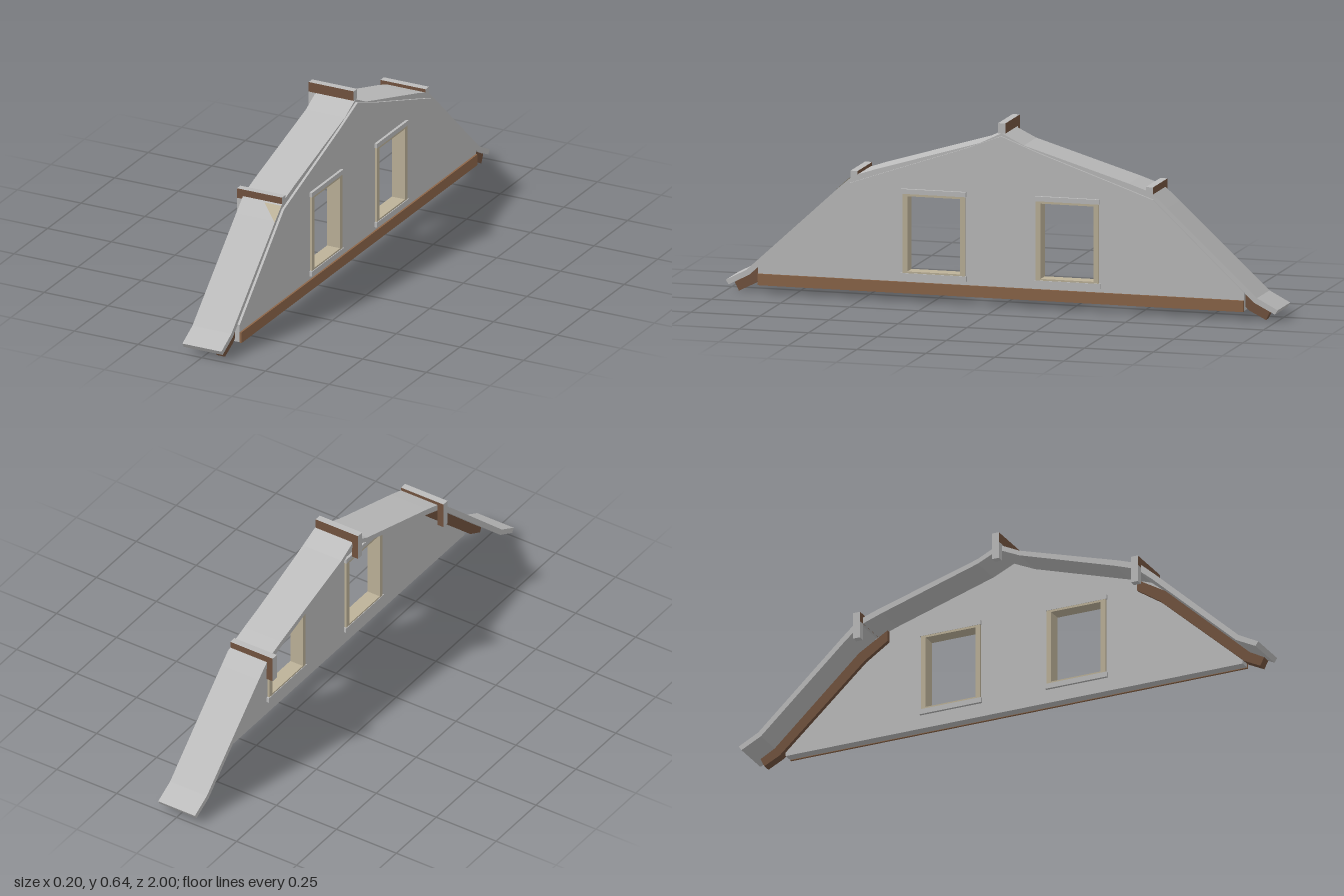
import * as THREE from 'three';

const mat = (name, color, side = THREE.FrontSide) => {
  const m = new THREE.MeshStandardMaterial({ color, side });
  m.name = name;
  return m;
};

export function createModel() {
  const group = new THREE.Group();
  const grey = mat('grey plaster', 0xbcbcbc);
  const brown = mat('timber brown', 0x8c6649);
  const dark = mat('dark timber', 0x72533f);
  const beige = mat('beige trim', 0xbdb299, THREE.DoubleSide);

  const add = (name, geometry, material) => {
    const mesh = new THREE.Mesh(geometry, material);
    mesh.name = name;
    group.add(mesh);
    return mesh;
  };
  // Box given by its limits on each axis
  const box = (name, x0, x1, y0, y1, z0, z1, material) =>
    add(name, new THREE.BoxGeometry(x1 - x0, y1 - y0, z1 - z0), material)
      .position.set((x0 + x1) / 2, (y0 + y1) / 2, (z0 + z1) / 2);
  // Profile of [z, y] points pushed along x from x0 to x1
  const slab = (name, points, x0, x1, material, holes = []) => {
    const shape = new THREE.Shape(points.map(p => new THREE.Vector2(...p)));
    for (const h of holes) shape.holes.push(new THREE.Path(h.map(p => new THREE.Vector2(...p))));
    const g = new THREE.ExtrudeGeometry(shape, { depth: x1 - x0, bevelEnabled: false });
    g.rotateY(-Math.PI / 2).translate(x1, 0, 0);
    return add(name, g, material);
  };
  const mirror = pts => pts.map(([z, y]) => [-z, y]).reverse();

  // Gable wall with two window openings
  const half = [[0.88, 0.03], [0.88, 0.095], [0.55, 0.405], [0.45, 0.44], [0.13, 0.55], [0, 0.6]];
  const opening = s => [[s * 0.14, 0.1], [s * 0.14, 0.38], [s * 0.345, 0.38], [s * 0.345, 0.1]];
  slab('gableWall', [...half, ...mirror(half.slice(0, -1))], 0.05, 0.086, grey, [opening(1), opening(-1)]);

  // Thin curved roof strip, swept out at the eaves
  const top = [[1, 0.038], [0.925, 0.077], [0.6, 0.377], [0.54, 0.43], [0.46, 0.457], [0.08, 0.571], [0, 0.61]];
  const under = [[0.99, 0.022], [0.915, 0.06], [0.59, 0.36], [0.53, 0.41], [0.45, 0.438], [0.08, 0.553], [0, 0.59]];
  for (const s of [1, -1]) {
    const pts = [...top, ...under.slice().reverse()];
    slab('roofStrip', s > 0 ? pts : mirror(pts), -0.076, 0.077, grey);

    // Rafter below each lower slope
    const rafter = [[0.97, 0.03], [0.915, 0.06], [0.59, 0.36], [0.48, 0.425],
      [0.48, 0.385], [0.57, 0.325], [0.895, 0.03], [0.955, 0]];
    slab('rafter', s > 0 ? rafter : mirror(rafter), 0.035, 0.068, dark);

    // Sill beam on the outer face, in two lengths
    box('sillBeam', 0.085, 0.093, 0.028, 0.068, s > 0 ? 0 : -0.88, s > 0 ? 0.88 : 0, brown);

    // Window frame lining the opening
    for (const z of [0.137, 0.346])
      box('windowJamb', 0.042, 0.094, 0.1, 0.38, s * z - 0.009, s * z + 0.009, beige);
    const zc = s * 0.2425;
    box('windowLining', 0.042, 0.094, 0.372, 0.382, zc - 0.1, zc + 0.1, beige);
    box('windowLining', 0.042, 0.094, 0.096, 0.106, zc - 0.1, zc + 0.1, beige);
    box('windowHead', 0.041, 0.096, 0.38, 0.397, zc - 0.117, zc + 0.117, grey);
    box('windowSill', 0.04, 0.097, 0.081, 0.1, zc - 0.119, zc + 0.119, grey);
  }

  // Purlins across the roof, each with a hanging end
  for (const [z, y] of [[0, 0.645], [0.535, 0.448], [-0.535, 0.448]]) {
    box('purlin', -0.1, 0.077, y - 0.036, y, z - 0.013, z + 0.013, [grey, grey, grey, grey, dark, dark]);
    box('purlinEnd', -0.1, -0.075, y - 0.098, y - 0.036, z - 0.013, z + 0.013, [grey, grey, grey, grey, grey, dark]);
  }

  // Small beige wedge at the front roof break
  const wedge = new THREE.BufferGeometry();
  wedge.setAttribute('position', new THREE.Float32BufferAttribute(
    [0.012, 0.42, 0.555, 0.078, 0.375, 0.605, 0.078, 0.42, 0.555], 3));
  wedge.computeVertexNormals();
  add('roofWedge', wedge, beige);

  return group;
}
